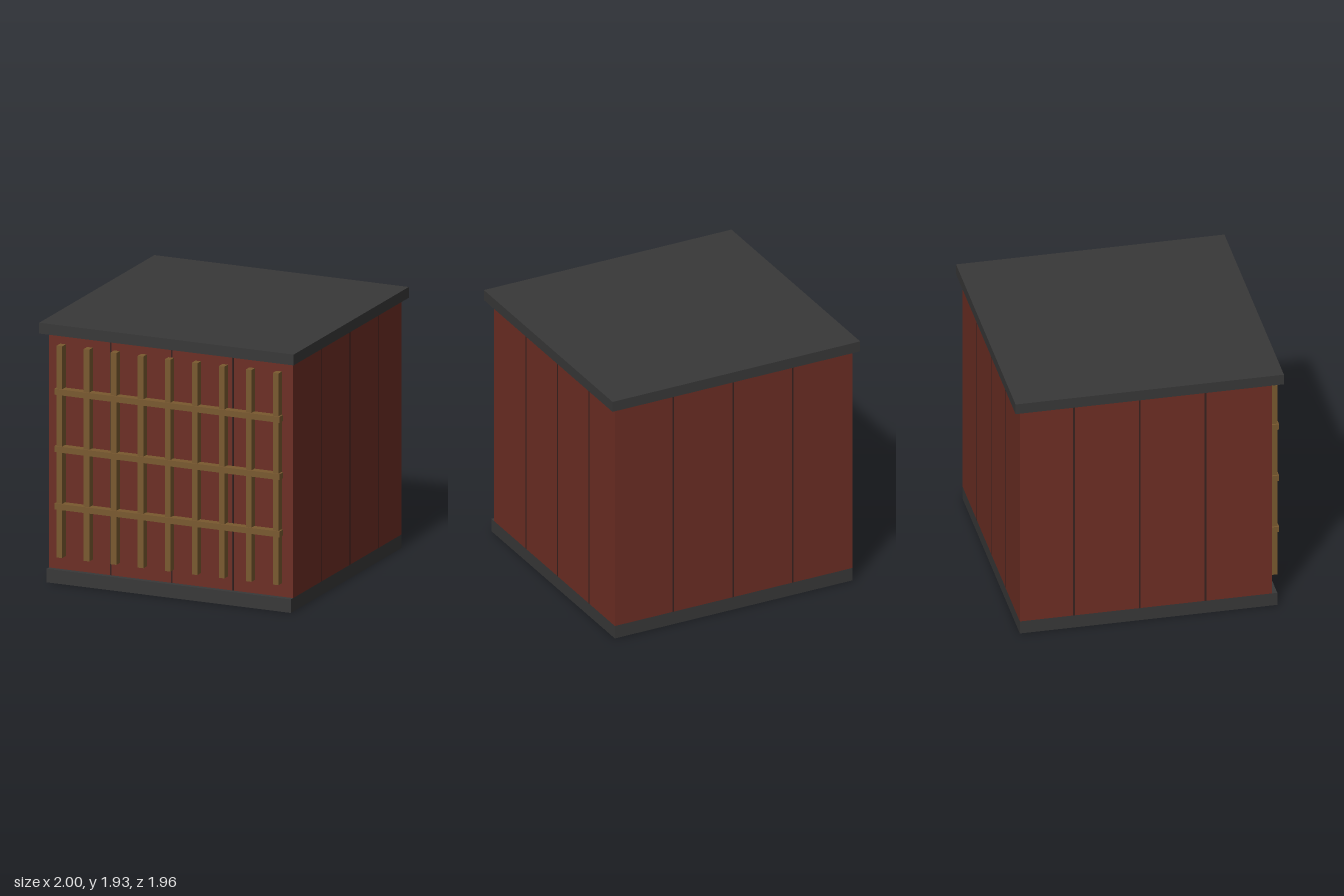
import * as THREE from 'three';

const paint = (name, color) => {
  const m = new THREE.MeshStandardMaterial({ color });
  m.name = name;
  return m;
};

export function createModel() {
  const model = new THREE.Group();
  model.name = 'latticeFrontedBlock';
  const charcoal = paint('charcoal', 0x383838);
  const red = paint('redBoards', 0x6d2e24);
  const wood = paint('wood', 0x79592f);
  const dark = paint('darkSeam', 0x38221f);

  // Box given by its minimum and maximum corners
  const box = (name, mat, [x0, y0, z0], [x1, y1, z1], parent = model) => {
    const mesh = new THREE.Mesh(new THREE.BoxGeometry(x1 - x0, y1 - y0, z1 - z0), mat);
    mesh.position.set((x0 + x1) / 2, (y0 + y1) / 2, (z0 + z1) / 2);
    mesh.name = name;
    parent.add(mesh);
  };
  const group = (name) => {
    const g = new THREE.Group();
    g.name = name;
    model.add(g);
    return g;
  };

  // Main body between the plinth and the overhanging roof slab
  const front = 0.9, back = -0.94, side = 0.96, low = 0.1, high = 1.85;
  box('plinth', charcoal, [-side, 0, back], [side, low, 0.94]);
  box('walls', red, [-side, low, back], [side, high, front]);
  box('roofSlab', charcoal, [-1, high, -0.98], [1, 1.93, 0.98]);

  // Narrow seams between the wall boards
  const seams = group('boardSeams');
  const w = 0.006, t = 0.001;
  for (const x of [-0.475, 0.005, 0.487]) {
    box('frontSeam', dark, [x - w, low, front - t], [x + w, high, front + t], seams);
    box('backSeam', dark, [x - w, low, back - t], [x + w, high, back + t], seams);
  }
  for (const z of [0.415, -0.065, -0.545]) {
    for (const x of [-side, side]) {
      box('sideSeam', dark, [x - t, low, z - w], [x + t, high, z + w], seams);
    }
  }

  // Wooden lattice: nine upright bars crossed by three rails
  const lattice = group('lattice');
  for (let i = -4; i <= 4; i++) {
    const x = i * 0.2125;
    box('latticeBar', wood, [x - 0.022, 0.2, front], [x + 0.022, 1.77, 0.96], lattice);
  }
  for (const y of [0.58, 1.005, 1.43]) {
    box('latticeRail', wood, [-0.885, y - 0.022, 0.91], [0.885, y + 0.022, 0.97], lattice);
  }
  return model;
}
